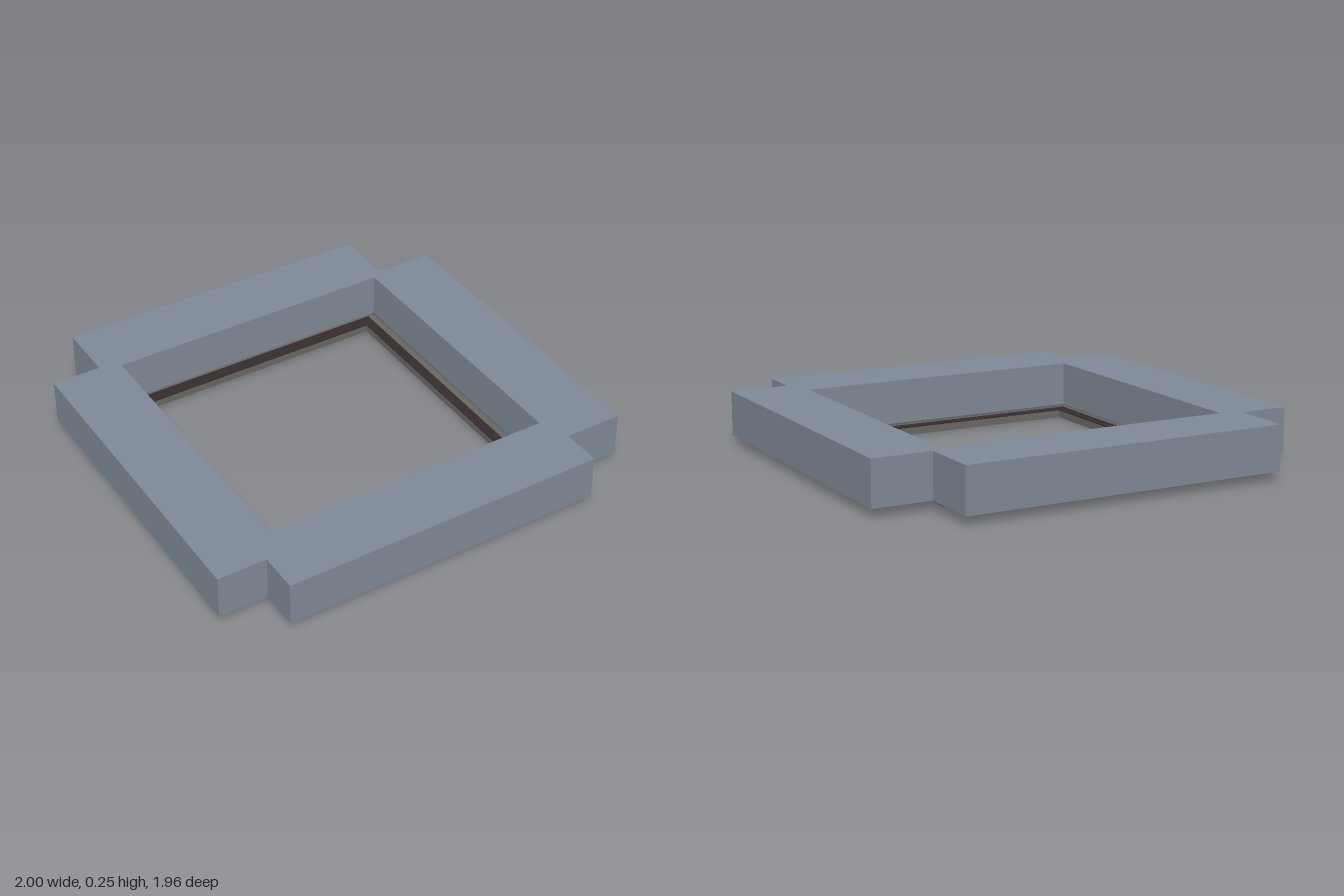
import * as THREE from 'three';

const slate = new THREE.MeshStandardMaterial({ color: 0x7f8997 });
slate.name = 'slate blue';
const grey = new THREE.MeshStandardMaterial({ color: 0x6b6763 });
grey.name = 'warm grey';
const dark = new THREE.MeshStandardMaterial({ color: 0x352c2d });
dark.name = 'dark brown';

// Corners of a rectangle in plan (x, z)
const rect = (x0, x1, z0, z1) => [[x0, z0], [x1, z0], [x1, z1], [x0, z1]];
const points = (list) => list.map(([x, z]) => new THREE.Vector2(x, z));

// Flat slab with a hole, drawn in plan and standing between two heights
function slab(name, outline, hole, bottom, top, material) {
  const shape = new THREE.Shape(points(outline));
  shape.holes.push(new THREE.Path(points(hole)));
  const geometry = new THREE.ExtrudeGeometry(shape, { depth: top - bottom, bevelEnabled: false });
  geometry.rotateX(Math.PI / 2); // plan y becomes z, depth runs downwards
  geometry.translate(0, top, 0);
  const mesh = new THREE.Mesh(geometry, material);
  mesh.name = name;
  return mesh;
}

export function createModel() {
  const model = new THREE.Group();
  model.name = 'squareOpening';

  // Thick surround with notched corners
  const [l, r, b, f] = [-0.775, 0.728, -0.705, 0.8];
  const cross = [
    [l, -0.982], [r, -0.982], [r, b], [1, b], [1, f], [r, f],
    [r, 0.982], [l, 0.982], [l, f], [-1, f], [-1, b], [l, b],
  ];
  model.add(slab('surround', cross, rect(-0.68, 0.677, -0.67, 0.66), 0.041, 0.245, slate));

  // Thin frame below the opening, with a dark gasket on its upper face
  const opening = rect(-0.602, 0.594, -0.602, 0.568);
  model.add(slab('lowerFrame', rect(-0.678, 0.67, -0.68, 0.651), opening, 0, 0.034, grey));
  model.add(slab('gasket', rect(-0.655, 0.64, -0.66, 0.622), opening, 0.034, 0.038, dark));

  return model;
}
